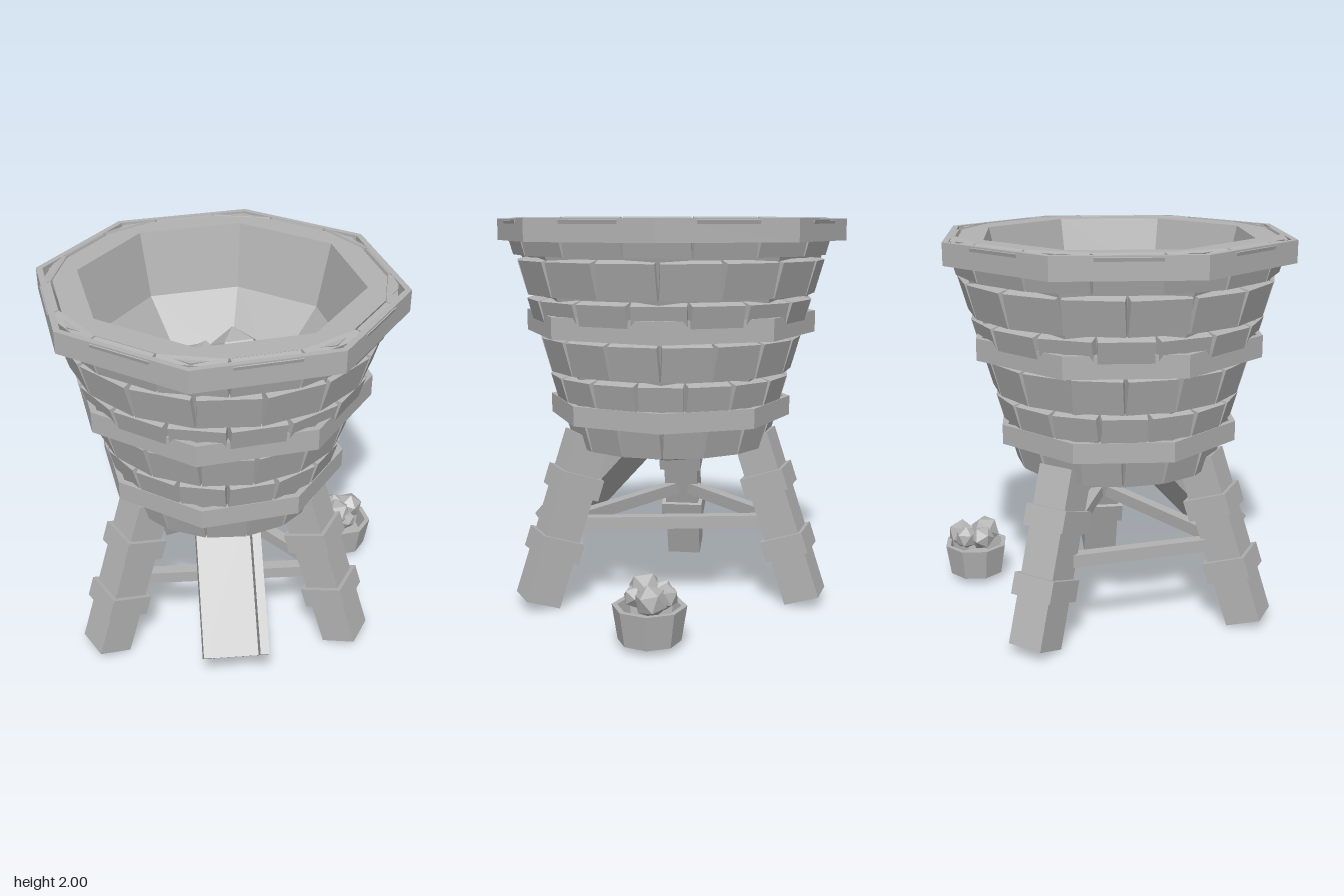
import * as THREE from 'three';

const stone = new THREE.MeshStandardMaterial({ color: 0xb2b2b2, flatShading: true });
stone.name = 'plain grey';
const DEG = Math.PI / 180;

function add(parent, name, geometry, x = 0, y = 0, z = 0) {
  const mesh = new THREE.Mesh(geometry, stone);
  mesh.name = name;
  mesh.position.set(x, y, z);
  parent.add(mesh);
  return mesh;
}

function addGroup(parent, name, x = 0, y = 0, z = 0, turn = 0) {
  const group = new THREE.Group();
  group.name = name;
  group.position.set(x, y, z);
  group.rotation.y = turn;
  parent.add(group);
  return group;
}

const box = (w, h, d) => new THREE.BoxGeometry(w, h, d);

// Eight-sided turned shape; profile radii are measured to the flats
function octagon(profile) {
  const k = Math.cos(Math.PI / 8);
  const points = profile.map(([r, y]) => new THREE.Vector2(r / k, y));
  return new THREE.LatheGeometry(points, 8, Math.PI / 8);
}

function addRocks(parent, name, rocks) {
  rocks.forEach(([x, y, z, r], i) => {
    const rock = add(parent, name, new THREE.IcosahedronGeometry(r), x, y, z);
    rock.rotation.set(0.5 + i, 0.9 * i, 0.3 * i);
  });
}

export function createModel() {
  const model = new THREE.Group();
  model.name = 'hopperOnLegs';
  const hopper = addGroup(model, 'hopper', -0.06);

  // Hollow core with rim, funnel floor and shallow underside
  add(hopper, 'core', octagon([
    [0, 0.75], [0.18, 0.75], [0.44, 0.835], [0.78, 1.99], [0.65, 1.99],
    [0.575, 1.66], [0.32, 1.35], [0, 1.35],
  ]));

  // Staggered rows of blocks leaning outward
  const count = 16, thick = 0.055, slope = 0.29;
  for (let row = 0; row < 6; row++) {
    const y = 0.83 + row * 0.197 + 0.088;
    const r = 0.51 + slope * (y - 0.83);
    const width = (2 * Math.PI * r) / count - 0.015;
    for (let i = 0; i < count; i++) {
      const a = ((i + (row % 2 ? 0 : 0.5)) / count) * 2 * Math.PI;
      const holder = addGroup(hopper, 'wallBlock', 0, y, 0, a);
      const block = add(holder, 'block', box(width, 0.178, thick), 0, 0, r - thick / 2);
      block.rotation.x = Math.atan(slope);
    }
  }

  // Three thin hoops
  for (const [r, y0, y1] of [[0.585, 0.97, 1.07], [0.70, 1.41, 1.52], [0.84, 1.88, 1.99]]) {
    const q = r - 0.03;
    add(hopper, 'hoop', octagon([[q, y0], [r, y0], [r, y1], [q, y1], [q, y0]]));
  }

  // Splayed legs with two sleeves each
  const legAngles = [50 * DEG, -71 * DEG, 189 * DEG];
  for (const a of legAngles) {
    const holder = addGroup(hopper, 'leg', 0, 0, 0, a);
    const leg = add(holder, 'legPost', box(0.19, 0.9, 0.185), 0, 0.457, 0.605);
    leg.rotation.x = -0.32;
    for (const y of [0.195, -0.15]) add(leg, 'legSleeve', box(0.235, 0.11, 0.23), 0, y, 0);
  }

  // Braces between the legs
  const at = (a) => new THREE.Vector3(Math.sin(a) * 0.61, 0.43, Math.cos(a) * 0.61);
  legAngles.forEach((a, i) => {
    const p = at(a), q = at(legAngles[(i + 1) % 3]);
    const mid = p.clone().add(q).multiplyScalar(0.5);
    const brace = add(hopper, 'brace', box(0.06, 0.065, p.distanceTo(q)), mid.x, mid.y, mid.z);
    brace.rotation.y = Math.atan2(q.x - p.x, q.z - p.z);
  });

  // Sloping chute at the front
  const chute = addGroup(hopper, 'chute', 0, 0, 0, -9 * DEG);
  const trough = addGroup(chute, 'trough', 0, 0.21, 0.72);
  trough.rotation.x = 45 * DEG;
  add(trough, 'troughFloor', box(0.32, 0.04, 0.85), 0, 0.02, -0.425);
  for (const s of [-1, 1]) add(trough, 'troughSide', box(0.045, 0.16, 0.85), s * 0.142, 0.08, -0.425);

  // Rocks in the hopper
  addRocks(model, 'hopperRock', [
    [0.06, 1.48, -0.16, 0.145], [0.05, 1.48, 0.18, 0.14], [0.15, 1.44, 0.06, 0.1],
    [-0.11, 1.45, -0.18, 0.11], [-0.22, 1.43, -0.09, 0.1], [-0.17, 1.48, -0.15, 0.095],
  ]);

  // Small bucket of rocks
  const bucket = addGroup(model, 'bucket', 0.745, 0, -0.297);
  add(bucket, 'bucketShell', octagon([
    [0, 0.03], [0.14, 0.03], [0.165, 0.2], [0.14, 0.2], [0.125, 0.1], [0, 0.1],
  ]));
  addRocks(bucket, 'bucketRock', [
    [-0.035, 0.268, 0.04, 0.085], [0.07, 0.245, -0.045, 0.08],
    [-0.075, 0.25, -0.02, 0.07], [0.01, 0.235, 0.07, 0.06], [-0.01, 0.25, -0.08, 0.065],
  ]);

  return model;
}
